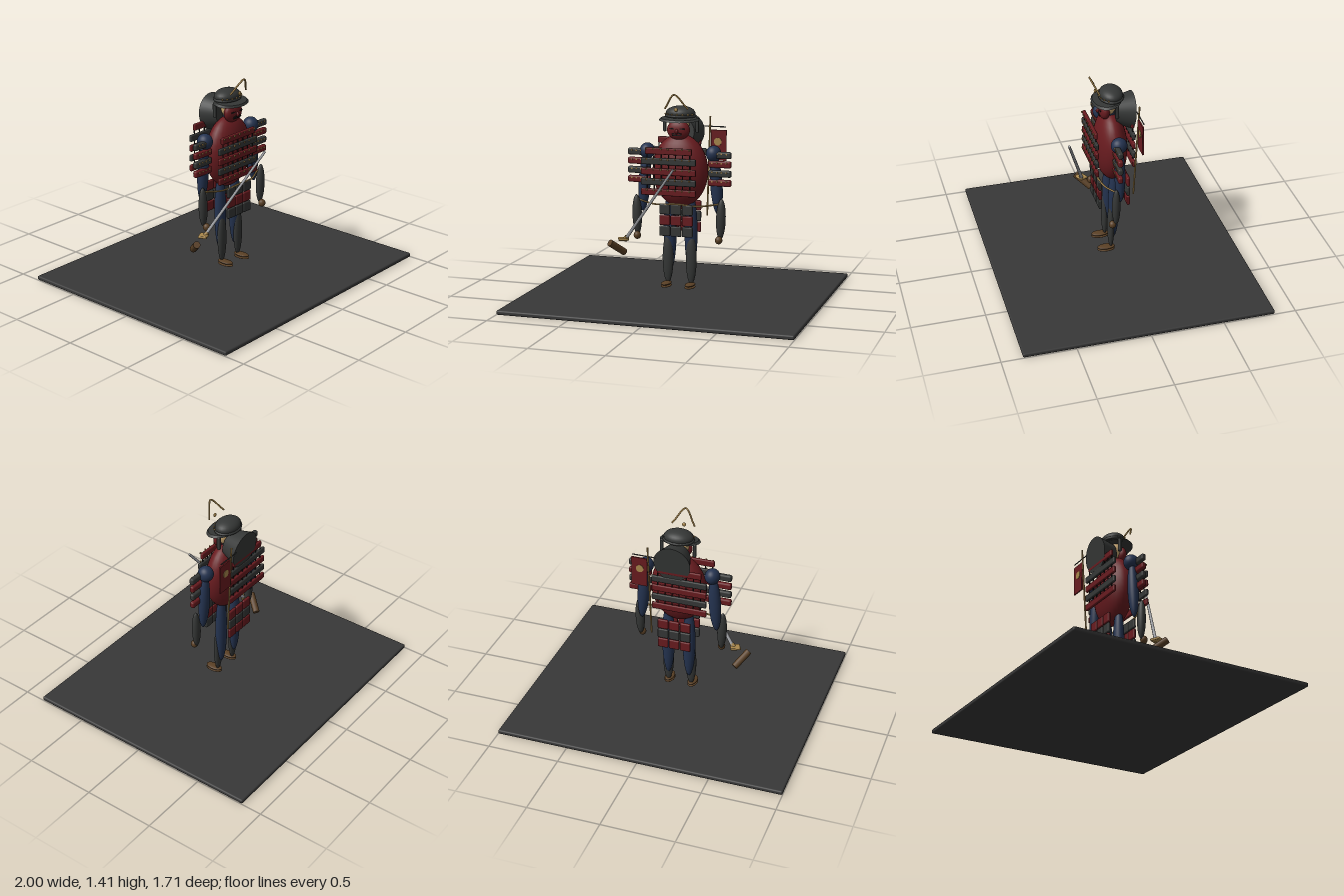
import * as THREE from 'three';
import { RoundedBoxGeometry } from 'three/addons/geometries/RoundedBoxGeometry.js';

const mat = (name, color, side = THREE.FrontSide) => {
  const m = new THREE.MeshStandardMaterial({ color, side });
  m.name = name;
  return m;
};

export function createModel() {
  const root = new THREE.Group();
  root.name = 'armouredWarrior';
  const base = mat('charcoal', 0x383838);
  const iron = mat('iron', 0x353736);
  const red = mat('lacquerRed', 0x681b1f);
  const blue = mat('indigoCloth', 0x243350);
  const brown = mat('leather', 0x5a4025);
  const gold = mat('gold', 0xa8874c);
  const skin = mat('skin', 0xcdaa72);
  const steel = mat('steel', 0xa4a6aa);
  const black = mat('black', 0x161616);

  const add = (name, geo, material, pos = [0, 0, 0]) => {
    const m = new THREE.Mesh(geo, material);
    m.name = name;
    m.position.set(...pos);
    root.add(m);
    return m;
  };
  const box = (name, size, pos, material) =>
    add(name, new THREE.BoxGeometry(...size), material, pos);
  const plate = (name, size, pos, material) =>
    add(name, new RoundedBoxGeometry(...size, 2, Math.min(...size) * 0.35), material, pos);
  const ball = (name, radii, pos, material) => {
    const m = add(name, new THREE.SphereGeometry(1, 28, 18), material, pos);
    m.scale.set(...radii);
    return m;
  };
  // Cylinder stretched between two points
  const rod = (name, a, b, r0, r1, material, sides = 14) => {
    const p = new THREE.Vector3(...a), q = new THREE.Vector3(...b);
    const dir = q.clone().sub(p);
    const m = add(name, new THREE.CylinderGeometry(r1, r0, dir.length(), sides), material);
    m.position.copy(p).add(q).multiplyScalar(0.5);
    m.quaternion.setFromUnitVectors(new THREE.Vector3(0, 1, 0), dir.normalize());
    return m;
  };
  const tube = (name, pts, r, material) =>
    add(name, new THREE.TubeGeometry(
      new THREE.CatmullRomCurve3(pts.map(p => new THREE.Vector3(...p))), 32, r, 8), material);

  // Ground slab
  plate('baseSlab', [2, 0.03, 1.71], [0, 0.015, 0], base);

  // Body, neck and head
  ball('torso', [0.195, 0.25, 0.11], [0, 0.875, 0.007], red);
  rod('neck', [0, 1.07, 0.01], [0, 1.16, 0.01], 0.04, 0.035, blue);
  ball('head', [0.065, 0.075, 0.05], [0, 1.19, 0.018], skin);

  // Face mask with painted features
  ball('faceMask', [0.08, 0.067, 0.04], [0, 1.157, 0.05], red);
  box('mouth', [0.065, 0.008, 0.008], [0, 1.125, 0.084], black);
  ball('nose', [0.011, 0.017, 0.014], [0, 1.15, 0.09], red);
  for (const s of [1, -1]) {
    box('eye', [0.035, 0.007, 0.008], [s * 0.034, 1.168, 0.084], black);
    box('moustache', [0.03, 0.006, 0.008], [s * 0.02, 1.138, 0.09], black).rotation.z = -s * 0.3;
  }

  // Helmet bowl, tilted brim, side flaps and neck guard
  ball('helmetBowl', [0.102, 0.05, 0.078], [0, 1.265, 0], iron);
  const brim = add('helmetBrim', new THREE.CylinderGeometry(0.125, 0.14, 0.014, 32), iron, [0, 1.23, 0.035]);
  brim.scale.z = 0.7;
  brim.rotation.x = 0.1;
  add('helmetRim', new THREE.TorusGeometry(0.1, 0.009, 8, 32).rotateX(Math.PI / 2)
    .scale(1, 1, 0.78), iron, [0, 1.248, 0]);
  const guard = add('neckGuard', new THREE.CylinderGeometry(0.09, 0.128, 0.12, 36)
    .rotateX(Math.PI / 2), iron, [0, 1.13, -0.08]);
  guard.rotation.x = -0.1;
  for (const s of [1, -1])
    plate('helmetFlap', [0.022, 0.1, 0.025], [s * 0.115, 1.185, -0.01], iron);

  // Helmet crest and rim studs
  tube('crest', [[-0.08, 1.305, 0.095], [-0.058, 1.335, 0.11], [-0.025, 1.385, 0.135], [0, 1.405, 0.145],
    [0.025, 1.385, 0.135], [0.058, 1.335, 0.11], [0.08, 1.305, 0.095]], 0.006, gold);
  ball('crestBoss', [0.014, 0.014, 0.008], [0, 1.3, 0.108], gold);
  for (let i = -3; i <= 3; i++) {
    const a = i * 0.36;
    ball('rimStud', [0.006, 0.006, 0.006], [Math.sin(a) * 0.108, 1.262, Math.cos(a) * 0.084], gold);
  }

  // Rows of chest and back plates, with lacing between them
  for (let i = 0; i < 5; i++) {
    const y = 1.02 - i * 0.07;
    const c = i % 2 ? iron : red;
    plate('chestPlate', [i ? 0.385 : 0.33, 0.046, 0.022], [-0.045, y, 0.132], c);
    plate('backPlate', [i ? 0.385 : 0.31, 0.046, 0.022], [-0.045, y + 0.04, -0.122], c);
    for (let k = 0; k < 7; k++) {
      const x = -0.195 + k * 0.05;
      box('chestLace', [0.01, 0.01, 0.007], [x, y + 0.015, 0.15], gold);
      if (i < 4) {
        box('laceCord', [0.006, 0.03, 0.006], [x, y - 0.035, 0.132], black);
        box('laceCord', [0.006, 0.03, 0.006], [x, y + 0.005, -0.122], black);
      }
    }
  }

  // Hanging skirt plates, front and back
  for (let row = 0; row < 3; row++)
    for (let col = -1; col <= 1; col++) {
      const pos = [col * 0.08, 0.62 - row * 0.075, 0];
      const size = [0.075, 0.07, 0.022];
      plate('frontSkirtPlate', size, [pos[0], pos[1], 0.104], row === 1 ? red : iron);
      plate('backSkirtPlate', size, [pos[0], pos[1], -0.094], row === 1 ? iron : red);
    }
  tube('beltCord', [[-0.285, 0.662, 0.035], [-0.15, 0.648, 0.09], [0, 0.66, 0.112],
    [0.15, 0.648, 0.09], [0.28, 0.66, 0.035]], 0.006, gold);

  // Mirrored limbs and shoulder guards
  for (const s of [1, -1]) {
    ball('shoulder', [0.052, 0.055, 0.055], [s * 0.235, 1.0, 0.008], blue);
    ball('upperArm', [0.042, 0.21, 0.036], [s * 0.255, 0.79, 0.008], blue).rotation.z = s * 0.07;
    ball('forearmGuard', [0.033, 0.14, 0.028], [s * 0.298, 0.56, 0.045], iron).rotation.z = -s * 0.03;
    ball('hand', [0.025, 0.027, 0.025], [s * 0.29, 0.42, 0.068], brown);
    for (let i = 0; i < 4; i++) {
      const y = 0.995 - i * 0.063;
      plate('shoulderPlate', [0.16, 0.046, 0.034], [s * 0.285, y, 0.03], i % 2 ? red : iron);
      for (let k = 0; k < 4; k++)
        box('shoulderLace', [0.009, 0.009, 0.005], [s * (0.235 + k * 0.033), y + 0.01, 0.049], gold);
    }
    ball('thigh', [0.045, 0.28, 0.037], [s * 0.075, 0.45, 0.002], blue);
    ball('shinGuard', [0.038, 0.175, 0.024], [s * 0.083, 0.265, 0.024], iron);
    ball('sandal', [0.033, 0.011, 0.062], [s * 0.085, 0.095, 0.057], brown);
    ball('sandalSole', [0.035, 0.007, 0.062], [s * 0.085, 0.078, 0.058], brown);
  }

  // Banner on the back
  rod('bannerPole', [0.155, 0.55, -0.115], [0.165, 1.23, -0.15], 0.006, 0.006, gold);
  rod('bannerCrossbar', [0.11, 1.162, -0.148], [0.275, 1.162, -0.148], 0.004, 0.004, iron);
  box('bannerCloth', [0.11, 0.21, 0.009], [0.227, 1.035, -0.143], red);
  for (const s of [1, -1])
    add('bannerDisc', new THREE.CylinderGeometry(0.027, 0.027, 0.004, 24).rotateX(Math.PI / 2),
      gold, [0.222, 1.06, -0.143 + s * 0.006]);

  // Sword
  const tip = [0.04, 0.925, 0.298], hilt = [-0.36, 0.395, 0.115];
  rod('blade', hilt, tip, 0.012, 0.009, steel, 6);
  const collar = rod('swordCollar', [-0.365, 0.39, 0.115], [-0.345, 0.415, 0.125], 0.017, 0.017, gold);
  collar.scale.z = 0.8;
  plate('swordGuard', [0.07, 0.018, 0.06], [-0.374, 0.397, 0.115], gold).rotation.y = 0.45;
  rod('swordGrip', [-0.465, 0.368, 0.138], [-0.393, 0.287, 0.04], 0.024, 0.024, brown);

  return root;
}
